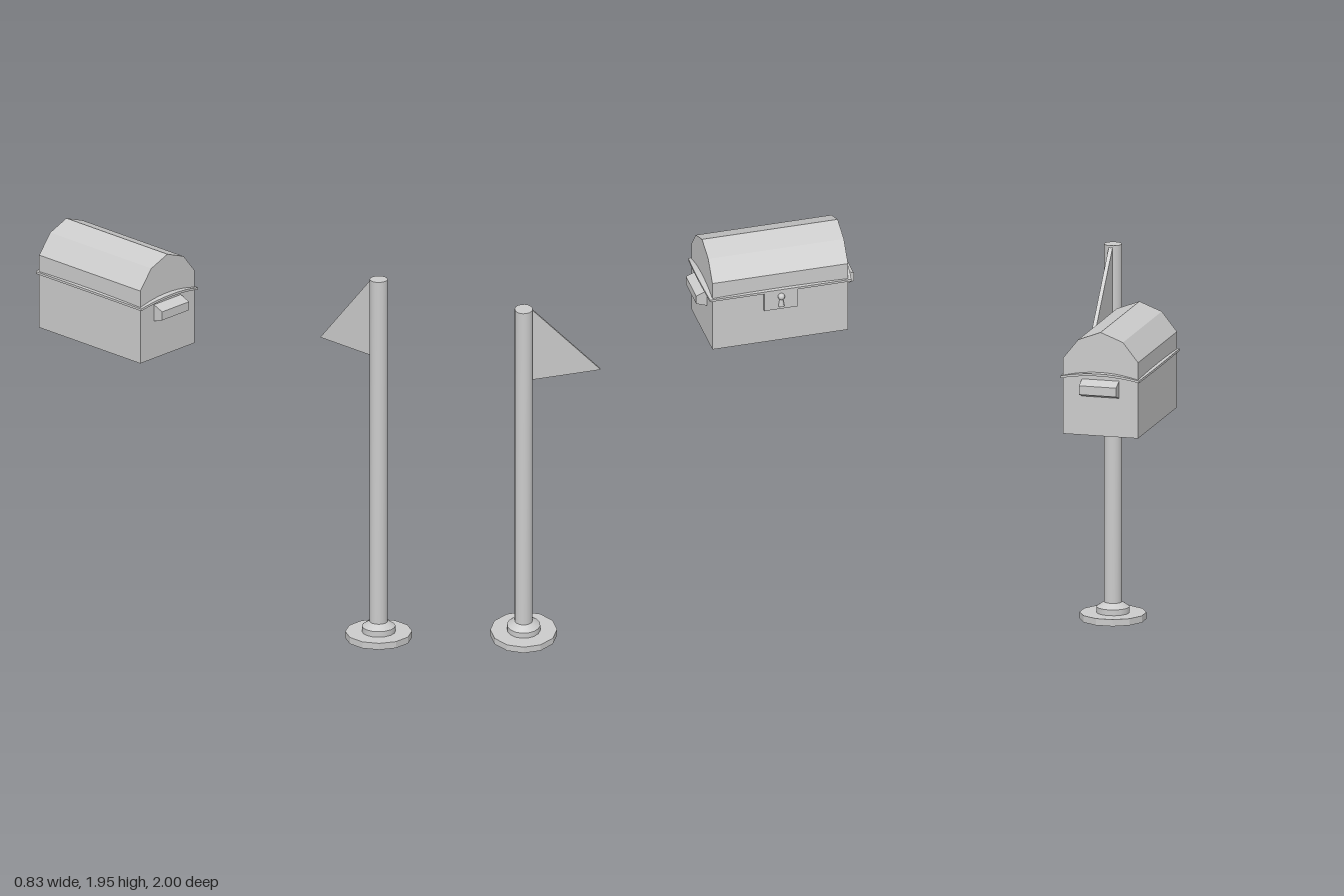
import * as THREE from 'three';
import { toCreasedNormals } from 'three/addons/utils/BufferGeometryUtils.js';

const grey = new THREE.MeshStandardMaterial({ color: 0xcccccc, flatShading: true });
const smooth = new THREE.MeshStandardMaterial({ color: 0xcccccc });

function add(parent, name, geometry, material = grey) {
  const mesh = new THREE.Mesh(geometry, material);
  mesh.name = name;
  parent.add(mesh);
  return mesh;
}

// Extrude a 2D outline, centred on its depth
function prism(points, depth) {
  const shape = new THREE.Shape(points.map(([x, y]) => new THREE.Vector2(x, y)));
  return new THREE.ExtrudeGeometry(shape, { depth, bevelEnabled: false }).translate(0, 0, -depth / 2);
}

// Thin rim round the chest, bowed outward and arched on each of its four sides
function rimGeometry() {
  const steps = 10, ring = [];
  const corners = [[1, 1], [1, -1], [-1, -1], [-1, 1]];
  corners.forEach(([ax, az], i) => {
    const [bx, bz] = corners[(i + 1) % 4];
    for (let k = 0; k < steps; k++) {
      const t = k / steps, bow = 4 * t * (1 - t);
      const u = ax + (bx - ax) * t, v = az + (bz - az) * t;
      const onEnd = az === bz;
      const x = u * 0.207 + (onEnd ? 0 : ax * 0.01 * bow);
      const z = v * 0.372 + (onEnd ? az * 0.015 * bow : 0);
      const y = 1.677 + (onEnd ? 0.026 : 0.006) * bow;
      ring.push([[u * 0.19, y, v * 0.35], [u * 0.19, y + 0.014, v * 0.35], [x, y + 0.012, z], [x, y, z]]);
    }
  });
  const pos = [], idx = [], n = ring.length;
  ring.forEach((section, i) => {
    section.forEach(p => pos.push(...p));
    for (let j = 0; j < 4; j++) {
      const a = i * 4 + j, b = i * 4 + (j + 1) % 4;
      const c = ((i + 1) % n) * 4 + j, d = ((i + 1) % n) * 4 + (j + 1) % 4;
      idx.push(a, b, c, b, d, c);
    }
  });
  const g = new THREE.BufferGeometry();
  g.setAttribute('position', new THREE.Float32BufferAttribute(pos, 3));
  g.setIndex(idx);
  return toCreasedNormals(g, 0.5);
}

export function createModel() {
  const model = new THREE.Group();

  // Flag pole with stepped foot
  const flagPole = new THREE.Group();
  flagPole.name = 'flagPole';
  flagPole.position.set(0.246, 0, 0.834);
  model.add(flagPole);
  add(flagPole, 'base', new THREE.CylinderGeometry(0.17, 0.17, 0.035, 12).rotateY(Math.PI / 12).translate(0, 0.0175, 0));
  const cylinder = (rTop, rBottom, y0, y1) =>
    toCreasedNormals(new THREE.CylinderGeometry(rTop, rBottom, y1 - y0, 16).translate(0, (y0 + y1) / 2, 0), 0.6);
  add(flagPole, 'collar', cylinder(0.085, 0.085, 0.035, 0.065), smooth);
  add(flagPole, 'collarTaper', cylinder(0.048, 0.085, 0.065, 0.09), smooth);
  add(flagPole, 'pole', cylinder(0.046, 0.046, 0.035, 1.955), smooth);

  // Pennant pointing backward
  const pennant = prism([[0.04, 1.53], [0.403, 1.53], [0.04, 1.95]], 0.02).rotateY(Math.PI / 2);
  add(flagPole, 'pennant', pennant);

  // Floating chest
  const chest = new THREE.Group();
  chest.name = 'chest';
  chest.position.set(-0.198, 0, -0.585);
  model.add(chest);
  add(chest, 'body', new THREE.BoxGeometry(0.396, 0.305, 0.714).translate(0, 1.5375, 0));
  add(chest, 'lid', prism([[-0.198, 1.69], [0.198, 1.69], [0.198, 1.78], [0.118, 1.88],
    [0, 1.925], [-0.118, 1.88], [-0.198, 1.78]], 0.714));
  add(chest, 'rim', rimGeometry(), smooth);

  // Tapered handles on both ends
  for (const side of [1, -1]) {
    const handle = add(chest, 'handle', prism([[0.35, 1.585], [0.415, 1.608], [0.415, 1.654], [0.35, 1.68]], 0.196)
      .rotateY(-Math.PI / 2));
    if (side < 0) handle.rotation.y = Math.PI;
  }

  // Lock plate and its latch on the +x side
  add(chest, 'lockPlate', new THREE.BoxGeometry(0.02, 0.105, 0.176).translate(0.204, 1.632, 0));
  add(chest, 'latchKnob', new THREE.SphereGeometry(0.018, 10, 8).translate(0.22, 1.656, 0), smooth);
  add(chest, 'latchStem', new THREE.CylinderGeometry(0.008, 0.016, 0.045, 10).translate(0.218, 1.623, 0), smooth);

  return model;
}
